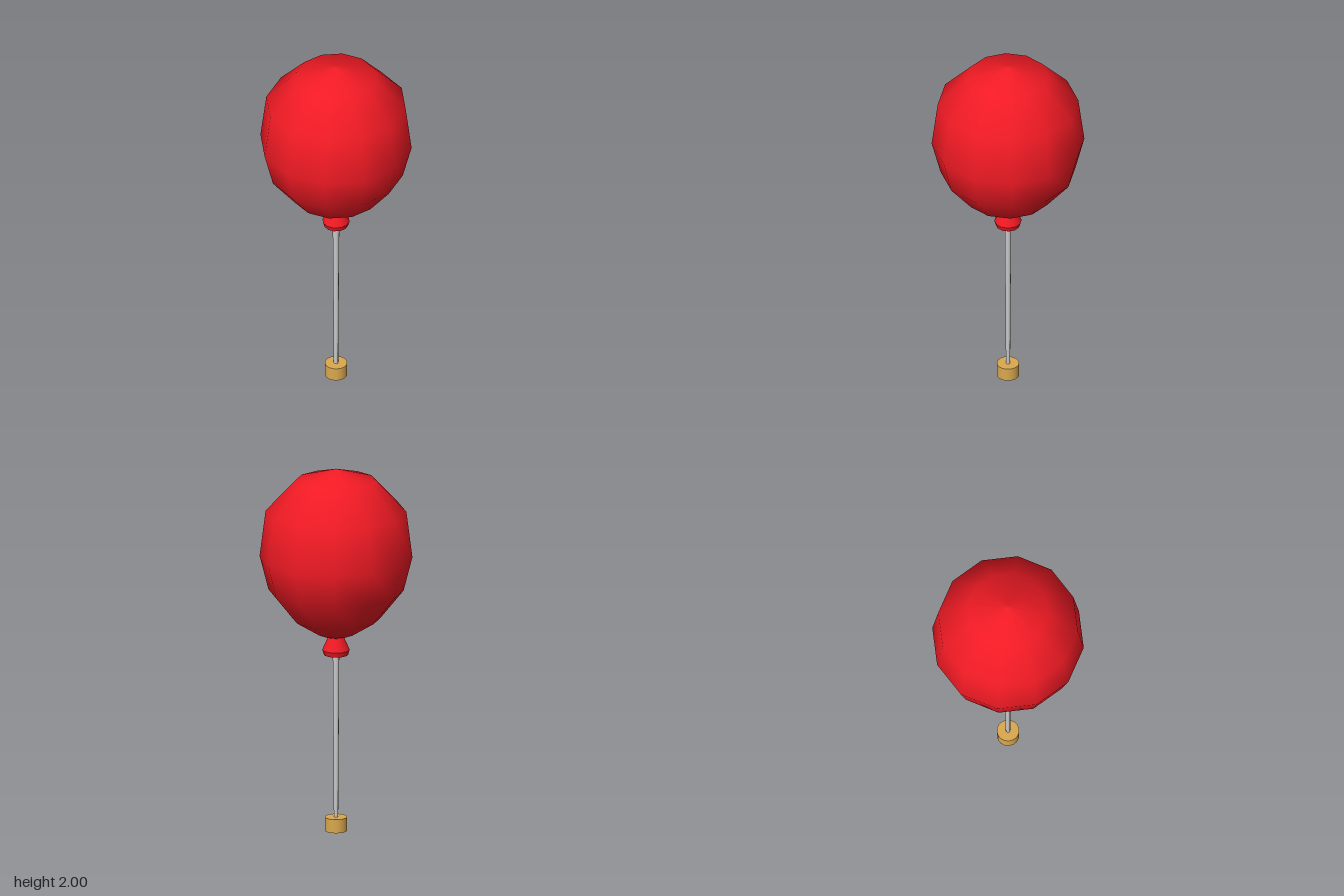
import * as THREE from 'three';

export function createModel() {
  const group = new THREE.Group();
  const red = new THREE.MeshStandardMaterial({ color: 0xf01a24 });
  const gold = new THREE.MeshStandardMaterial({ color: 0xdba94f });
  const grey = new THREE.MeshStandardMaterial({ color: 0xcccccc });

  const add = (name, geometry, material, y = 0) => {
    const mesh = new THREE.Mesh(geometry, material);
    mesh.name = name;
    mesh.position.y = y;
    group.add(mesh);
  };

  // Tapered cylinder standing between two heights
  const post = (name, rTop, rBottom, y0, y1, sides, material) =>
    add(name, new THREE.CylinderGeometry(rTop, rBottom, y1 - y0, sides), material, (y0 + y1) / 2);

  // Balloon: twelve-sided smooth lathe, profile from bottom to top
  const profile = [
    [0, 1.065], [0.04, 1.07], [0.1, 1.09], [0.235, 1.175], [0.36, 1.33],
    [0.407, 1.515], [0.375, 1.765], [0.215, 1.935], [0, 2],
  ].map(([r, y]) => new THREE.Vector2(r, y));
  add('balloon', new THREE.LatheGeometry(profile, 12), red);

  // Knot: flared neck with a rolled lip under it
  post('knotNeck', 0.04, 0.073, 1, 1.075, 12, red);
  post('knotLip', 0.073, 0.065, 0.973, 1, 12, red);

  // String, slightly thinner toward the weight
  post('string', 0.018, 0.012, 0.07, 0.98, 8, grey);

  // Weight on the ground
  post('weight', 0.06, 0.06, 0, 0.075, 16, gold);

  return group;
}
